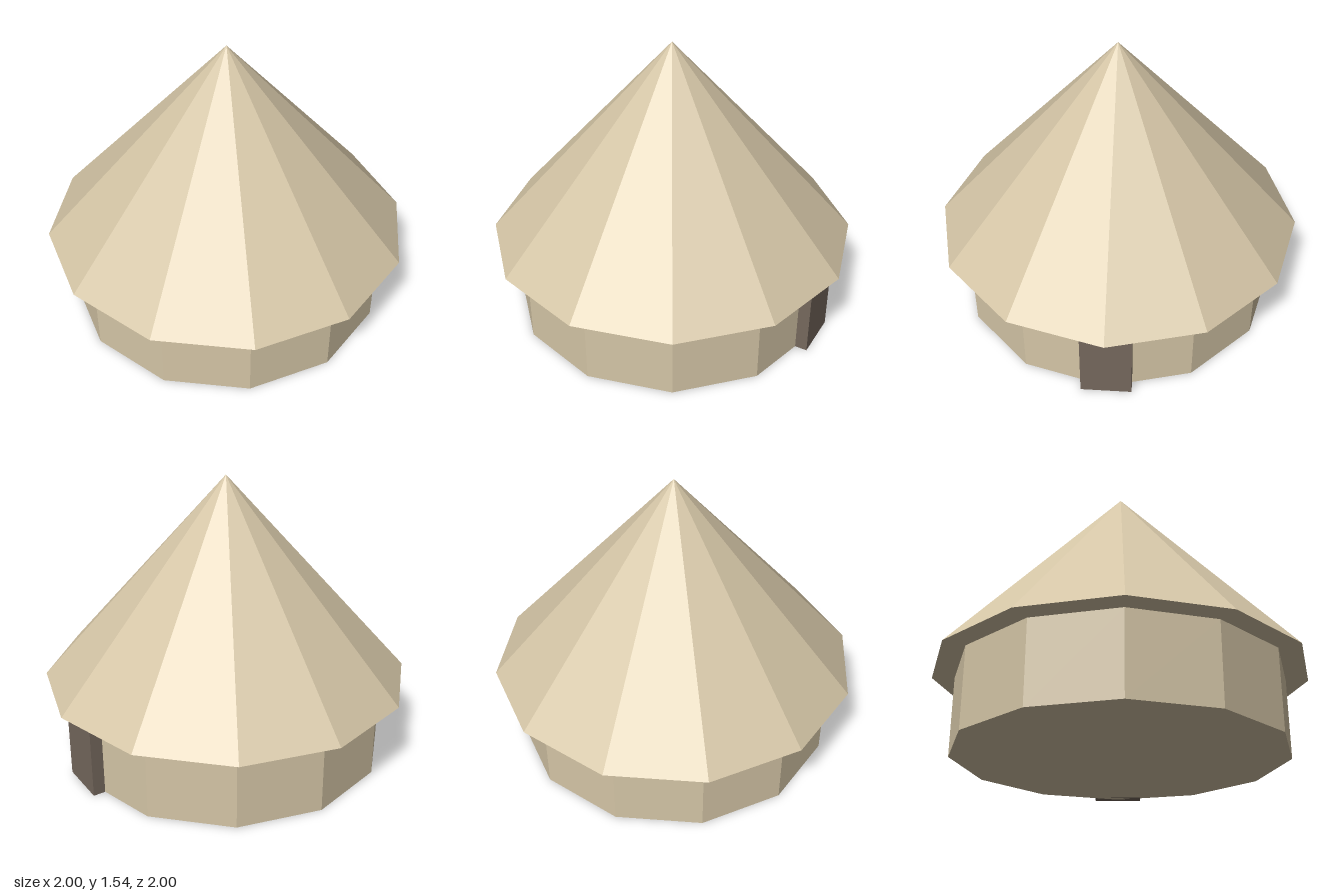
import * as THREE from 'three';

export function createModel() {
  const hut = new THREE.Group();
  hut.name = 'roundHut';

  const thatch = new THREE.MeshStandardMaterial({ color: 0xd4c5a6, flatShading: true });
  thatch.name = 'sand';
  const wood = new THREE.MeshStandardMaterial({ color: 0x75685d, flatShading: true });
  wood.name = 'dark wood';

  const add = (name, geometry, material, x, y, z) => {
    const mesh = new THREE.Mesh(geometry, material);
    mesh.name = name;
    mesh.position.set(x, y, z);
    hut.add(mesh);
  };

  const sides = 12, wallHeight = 0.43, roofHeight = 1.115, doorHeight = 0.385;

  // Twelve-sided wall with a closed floor
  add('wall', new THREE.CylinderGeometry(0.88, 0.88, wallHeight, sides), thatch, 0, wallHeight / 2, 0);

  // Conical roof with overhanging eaves
  add('roof', new THREE.ConeGeometry(1, roofHeight, sides), thatch, 0, wallHeight + roofHeight / 2, 0);

  // Door slab set into the wall on the left side
  add('door', new THREE.BoxGeometry(0.08, doorHeight, 0.265), wood, 0.87, doorHeight / 2, 0);

  return hut;
}
